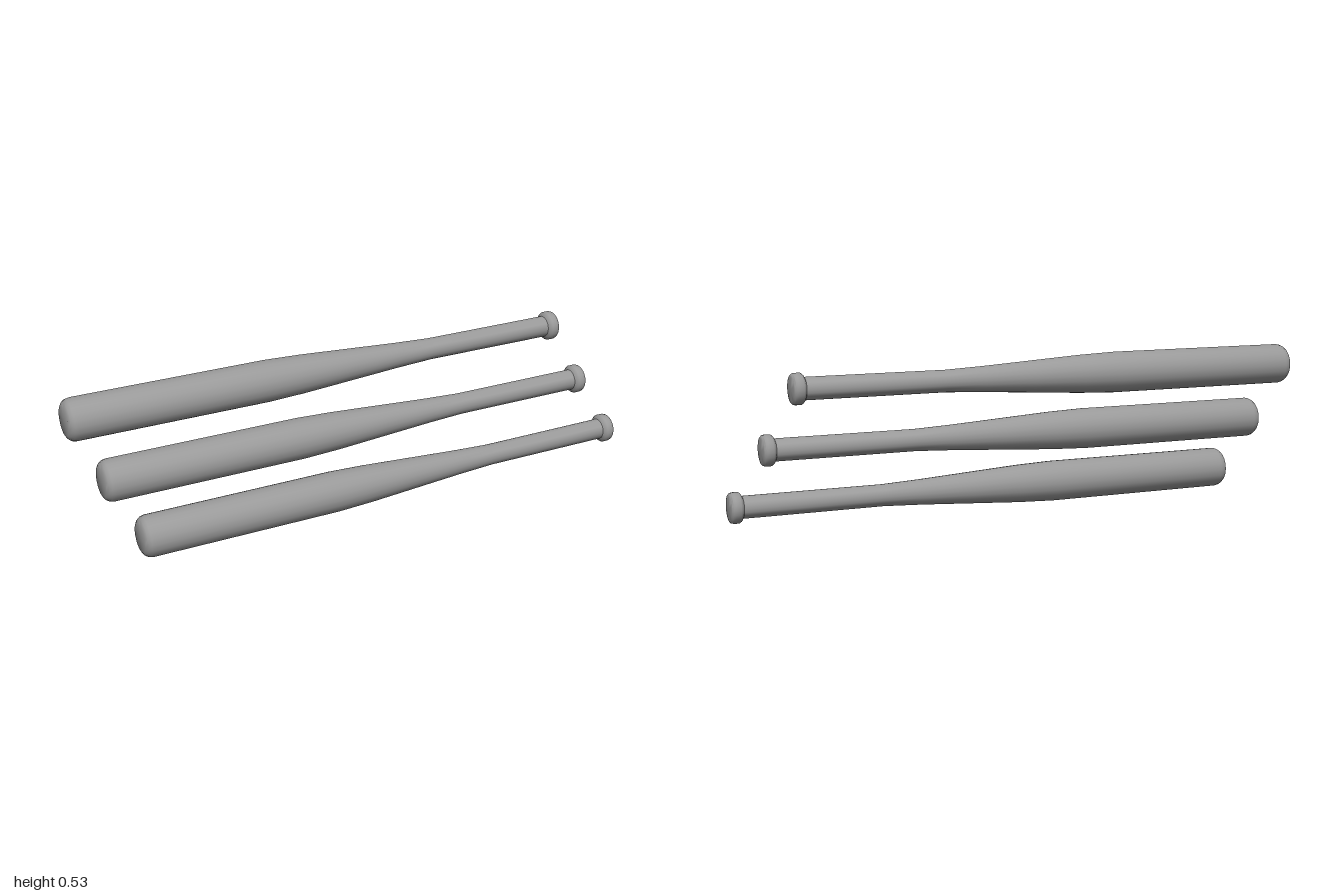
import * as THREE from 'three';
import { toCreasedNormals } from 'three/addons/utils/BufferGeometryUtils.js';

// Bat profile: [distance from the barrel end, radius]
const PROFILE = [
  [0, 0], [0, 0.05], [0.006, 0.06], [0.016, 0.067], [0.03, 0.07],
  [0.69, 0.07], [0.82, 0.065], [1.0, 0.054], [1.18, 0.043], [1.31, 0.037],
  [1.783, 0.037], [1.788, 0.046], [1.795, 0.051], [1.812, 0.051],
  [1.82, 0.049], [1.824, 0.045], [1.826, 0.038], [1.826, 0],
];

// Barrel-end x, centre y and centre z of each bat
const BATS = [
  ['lowerBat', -0.826, 0.071, 0.069],
  ['middleBat', -0.918, 0.261, 0.001],
  ['upperBat', -1.0, 0.46, -0.068],
];

export function createModel() {
  const model = new THREE.Group();
  model.name = 'threeBats';
  const material = new THREE.MeshStandardMaterial({ color: 0x9a9a9a });

  // One turned bat lying along x, knob towards +x
  const points = PROFILE.map(([along, radius]) => new THREE.Vector2(radius, along));
  const lathe = new THREE.LatheGeometry(points, 20).rotateZ(-Math.PI / 2);
  const geometry = toCreasedNormals(lathe, 0.8);

  // Staggered row
  for (const [name, x, y, z] of BATS) {
    const bat = new THREE.Mesh(geometry, material);
    bat.name = name;
    bat.position.set(x, y, z);
    model.add(bat);
  }
  return model;
}
